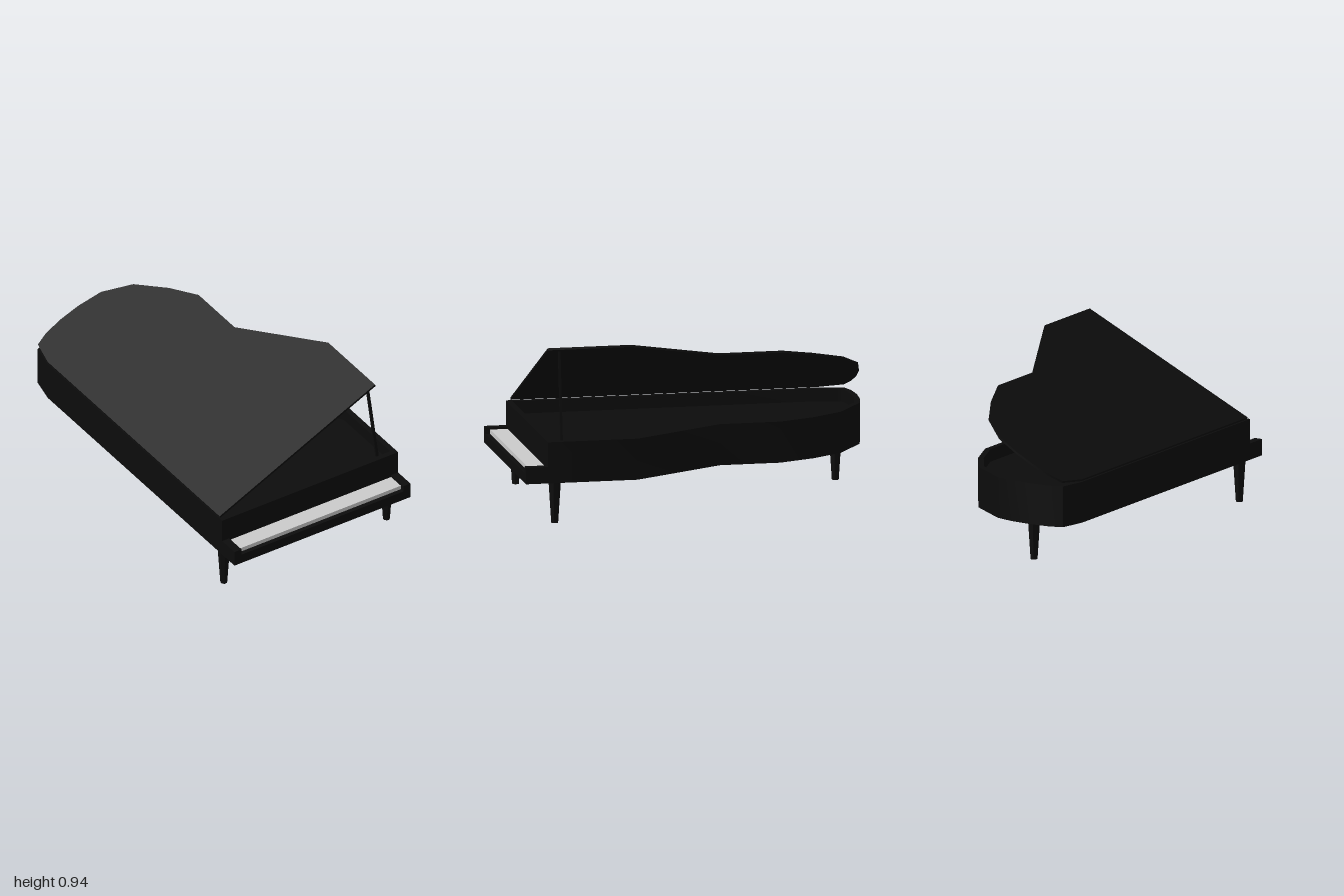
import * as THREE from 'three';
import { toCreasedNormals } from 'three/addons/utils/BufferGeometryUtils.js';

const black = new THREE.MeshStandardMaterial({ color: 0x0c0c0c });
const ivory = new THREE.MeshStandardMaterial({ color: 0xcccccc });

// Plan outlines as [x, z], counter-clockwise seen from above
const CASE = [
  [-0.565, 0.88], [0.565, 0.88], [0.565, 0.39], [0.28, -0.12], [0.28, -0.45], [0.2, -0.65], [0.09, -0.82],
  [-0.12, -0.965], [-0.22, -0.99], [-0.34, -0.998], [-0.46, -0.99], [-0.535, -0.965], [-0.565, -0.82],
];
// Lid outline, x measured from the hinge
const LID = [
  [0, 0.855], [1.105, 0.855], [1.105, 0.4], [0.825, -0.13], [0.825, -0.48], [0.745, -0.66], [0.63, -0.85],
  [0.48, -0.96], [0.34, -0.99], [0.22, -0.998], [0.11, -0.99], [0.035, -0.965], [0, -0.82],
];

// Mitred inset of a closed outline
function inset(points, d) {
  const n = points.length;
  const normal = (a, b) => {
    const dx = b[0] - a[0], dz = b[1] - a[1], l = Math.hypot(dx, dz);
    return [dz / l, -dx / l];
  };
  return points.map((p, i) => {
    const a = normal(points[(i + n - 1) % n], p), b = normal(p, points[(i + 1) % n]);
    const k = d / (1 + a[0] * b[0] + a[1] * b[1]);
    return [p[0] + (a[0] + b[0]) * k, p[1] + (a[1] + b[1]) * k];
  });
}

const toVectors = (points) => points.map(([x, z]) => new THREE.Vector2(x, -z));

// Vertical slab from a plan outline, optionally with a hole
function slab(points, y0, y1, hole) {
  const shape = new THREE.Shape(toVectors(points));
  if (hole) shape.holes.push(new THREE.Path(toVectors(hole)));
  const geometry = new THREE.ExtrudeGeometry(shape, { depth: y1 - y0, bevelEnabled: false });
  geometry.rotateX(-Math.PI / 2).translate(0, y0, 0);
  return toCreasedNormals(geometry, 0.75);
}

export function createModel() {
  const model = new THREE.Group();
  model.name = 'grandPiano';
  const add = (name, geometry, material = black, parent = model) => {
    const mesh = new THREE.Mesh(geometry, material);
    mesh.name = name;
    parent.add(mesh);
    return mesh;
  };
  const box = (name, x0, x1, y0, y1, z0, z1, material) => add(name,
    new THREE.BoxGeometry(x1 - x0, y1 - y0, z1 - z0)
      .translate((x0 + x1) / 2, (y0 + y1) / 2, (z0 + z1) / 2), material);

  // Case: curved rim around a sunken soundboard
  add('rim', slab(CASE, 0.225, 0.45, inset(CASE, 0.03)));
  add('soundboard', slab(inset(CASE, 0.02), 0.226, 0.38));

  // Keyboard between two cheeks
  box('keybed', -0.565, 0.565, 0.225, 0.28, 0.87, 1);
  for (const s of [-1, 1]) {
    const mesh = box('cheek', -0.0225, 0.0225, 0.28, 0.315, 0.87, 1);
    mesh.position.x = s * 0.5425;
  }
  box('keys', -0.52, 0.52, 0.28, 0.303, 0.87, 0.975, ivory);

  // Raised lid, hinged on the straight side
  const lid = new THREE.Group();
  lid.name = 'lid';
  lid.position.set(-0.56, 0.453, 0);
  lid.rotation.z = Math.atan2(0.47, 0.99);
  add('lidPanel', slab(LID, 0, 0.012), black, lid);
  model.add(lid);

  // Prop stick
  const foot = new THREE.Vector3(0.489, 0.4, 0.79), head = new THREE.Vector3(0.421, 0.915, 0.79);
  const prop = add('propStick', new THREE.BoxGeometry(0.015, foot.distanceTo(head), 0.012));
  prop.position.copy(foot).add(head).multiplyScalar(0.5);
  prop.rotation.z = Math.atan2(foot.x - head.x, head.y - foot.y);

  // Tapered legs
  const legGeometry = toCreasedNormals(new THREE.CylinderGeometry(0.034, 0.019, 0.23, 8), 0.6)
    .rotateY(Math.PI / 8).translate(0, 0.115, 0);
  for (const [name, x, z] of [
    ['frontRightLeg', -0.525, 0.835], ['frontLeftLeg', 0.52, 0.835], ['rearLeg', -0.29, -0.868],
  ]) add(name, legGeometry).position.set(x, 0, z);

  return model;
}
